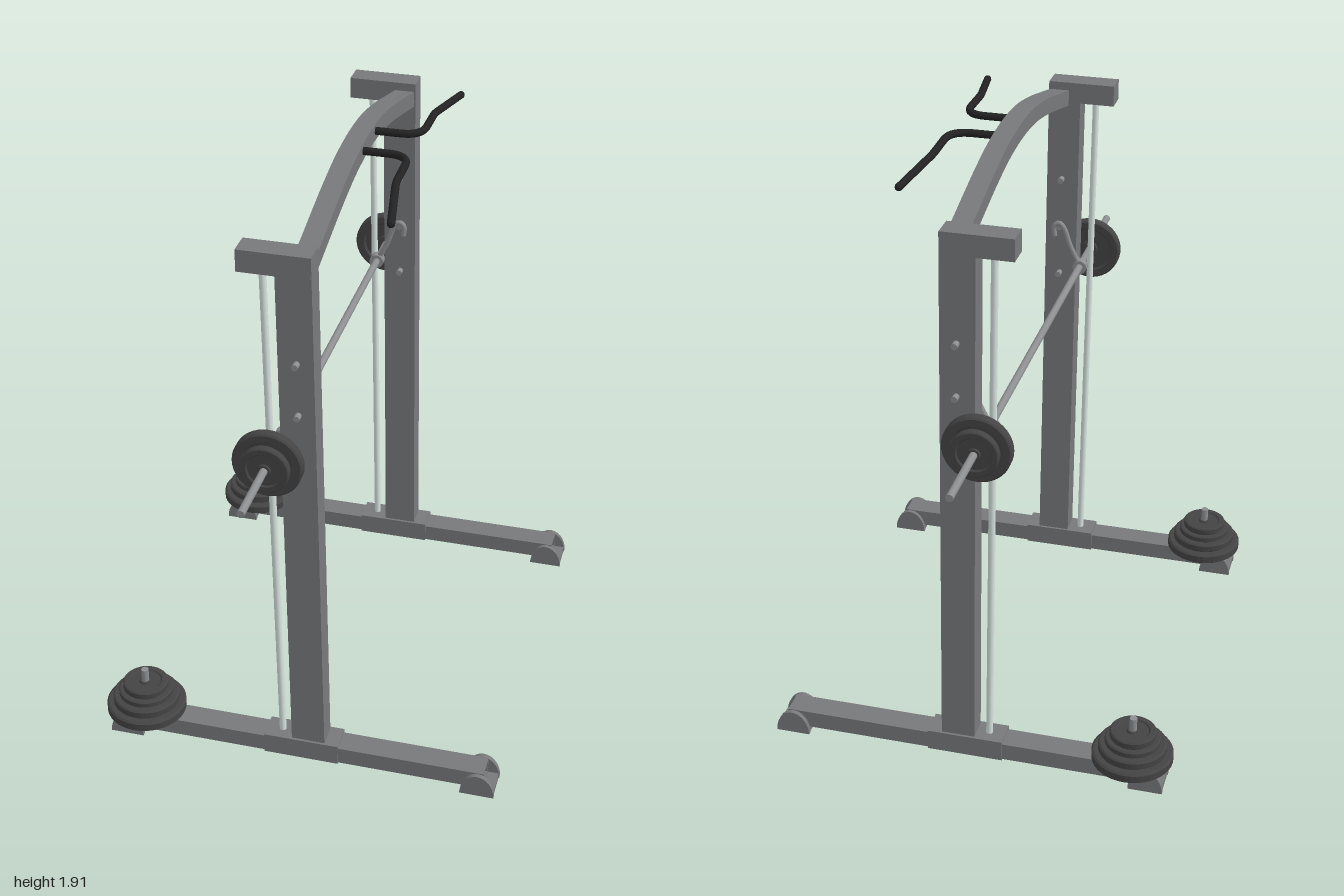
import * as THREE from 'three';

const mat = (color, extra = {}) => new THREE.MeshStandardMaterial({ color, ...extra });
const frame = mat(0x77797b);
const steel = mat(0x8c8e90);
const chrome = mat(0xd8e4e0);
const iron = mat(0x444444);
const rubber = mat(0x222222);

function add(parent, name, geometry, material) {
  const mesh = new THREE.Mesh(geometry, material);
  mesh.name = name;
  parent.add(mesh);
  return mesh;
}

// Box given by its limits on each axis
function box(x0, x1, y0, y1, z0, z1) {
  return new THREE.BoxGeometry(x1 - x0, y1 - y0, z1 - z0)
    .translate((x0 + x1) / 2, (y0 + y1) / 2, (z0 + z1) / 2);
}

// Round rod between two points
function rod(a, b, radius, sides = 16) {
  const from = new THREE.Vector3(...a), to = new THREE.Vector3(...b);
  const dir = to.clone().sub(from);
  const g = new THREE.CylinderGeometry(radius, radius, dir.length(), sides);
  g.applyQuaternion(new THREE.Quaternion().setFromUnitVectors(new THREE.Vector3(0, 1, 0), dir.normalize()));
  return g.translate(...from.add(to).multiplyScalar(0.5).toArray());
}

const polygon = (points) => new THREE.Shape(points.map(([x, y]) => new THREE.Vector2(x, y)));

// Extrude an xy profile between two z values
function extrudeZ(shape, z0, z1) {
  return new THREE.ExtrudeGeometry(shape, { depth: z1 - z0, bevelEnabled: false, curveSegments: 16 })
    .translate(0, 0, z0);
}

// Extrude a zy profile (symmetric in z) between two x values
const extrudeX = (shape, x0, x1) => extrudeZ(shape, x0, x1).rotateY(Math.PI / 2);

// Open rectangular tube along x
function boxTube(x0, x1, y0, y1, half, wall) {
  const s = polygon([[-half, y0], [half, y0], [half, y1], [-half, y1]]);
  const w = half - wall;
  s.holes.push(polygon([[-w, y0 + wall], [-w, y1 - wall], [w, y1 - wall], [w, y0 + wall]]));
  return extrudeX(s, x0, x1);
}

// Weight plate standing on y = 0, with raised rim, recessed web and hub on both faces
function plate(r, t) {
  const d = t * 0.2;
  const half = [[0, 0], [r * 0.25, 0], [r * 0.28, d], [r * 0.68, d], [r * 0.74, 0], [r * 0.95, 0], [r, t * 0.15]];
  const profile = [...half, ...half.map(([x, y]) => [x, t - y]).reverse()];
  const g = new THREE.LatheGeometry(profile.map(([x, y]) => new THREE.Vector2(x, y)), 40).toNonIndexed();
  g.computeVertexNormals();
  return g;
}

// One side of the rack, built around z = 0; out is the outward z direction
function buildSide(out) {
  const side = new THREE.Group();
  side.name = out > 0 ? 'frontSide' : 'backSide';

  add(side, 'baseBeam', boxTube(-0.59, 0.61, 0.02, 0.078, 0.04, 0.008), frame);
  add(side, 'postSleeve', boxTube(-0.11, 0.135, 0.018, 0.088, 0.045, 0.006), frame);

  // Rounded feet: two cheeks and a sole
  for (const x of [-0.576, 0.592]) {
    const foot = new THREE.Group();
    foot.name = 'foot';
    const cheek = new THREE.Shape();
    cheek.absellipse(x, 0, 0.055, 0.077, 0, Math.PI, false);
    for (const s of [-1, 1]) {
      add(foot, 'footCheek', extrudeZ(cheek, s * 0.0485 - 0.0075, s * 0.0485 + 0.0075), frame);
    }
    add(foot, 'footSole', box(x - 0.053, x + 0.053, 0, 0.019, -0.041, 0.041), frame);
    side.add(foot);
  }

  // Leaning post and the cap that holds the guide rod
  add(side, 'post', extrudeZ(polygon([[-0.018, 0.08], [0.09, 0.08], [0.064, 1.83], [-0.043, 1.83]]), -0.037, 0.037), frame);
  add(side, 'topCap', box(-0.155, 0.063, 1.762, 1.831, -0.0375, 0.0375), frame);
  add(side, 'guideRod', rod([-0.058, 0.08, 0], [-0.088, 1.77, 0], 0.011), chrome);

  // Safety pegs through the post
  for (const [x, y] of [[0.018, 1.488], [0.021, 1.317], [0.023, 1.14]]) {
    add(side, 'peg', rod([x, y, -0.06], [x, y, 0.06], 0.01), steel);
  }

  // Hook from the bar over the middle peg, on the inner face
  const z = -out * 0.056;
  const hookPath = new THREE.CatmullRomCurve3([
    [-0.055, 1.18], [-0.02, 1.25], [0.005, 1.318], [0.021, 1.333], [0.038, 1.32], [0.036, 1.285],
  ].map(([x, y]) => new THREE.Vector3(x, y, z)));
  add(side, 'hook', new THREE.TubeGeometry(hookPath, 30, 0.009, 8), steel);
  add(side, 'hookCollar', rod([-0.055, 1.18, z - 0.014], [-0.055, 1.18, z + 0.014], 0.024, 24), steel);

  // Spare plates stacked on the storage peg
  const stack = new THREE.Group();
  stack.name = 'plateStack';
  stack.position.set(-0.523, 0.079, 0);
  let y = 0;
  for (const [r, t] of [[0.129, 0.035], [0.108, 0.03], [0.088, 0.022], [0.073, 0.025]]) {
    add(stack, 'storedPlate', plate(r, t), iron).position.y = y;
    y += t;
  }
  add(stack, 'storagePeg', rod([0, 0, 0], [0, 0.156, 0], 0.012), steel);
  side.add(stack);

  side.position.z = out * 0.632;
  return side;
}

export function createModel() {
  const model = new THREE.Group();
  model.name = 'weightRack';
  model.add(buildSide(1), buildSide(-1));

  // Arched crossbeam
  const top = new THREE.CatmullRomCurve3([
    [-0.6, 1.803], [-0.45, 1.842], [-0.3, 1.879], [-0.15, 1.906], [0, 1.915],
    [0.15, 1.906], [0.3, 1.879], [0.45, 1.842], [0.6, 1.803],
  ].map(([z, y]) => new THREE.Vector3(z, y, 0))).getPoints(32);
  const outline = [...top.map((p) => [p.x, p.y]), ...top.reverse().map((p) => [p.x, p.y - 0.053])].reverse();
  add(model, 'archBeam', extrudeX(polygon(outline), -0.003, 0.06), frame);

  // Pull-up handles
  for (const s of [-1, 1]) {
    const v = (x, y, z) => new THREE.Vector3(x, y, s * z);
    const path = new THREE.CurvePath();
    path.add(new THREE.LineCurve3(v(0.05, 1.89, 0.075), v(0.135, 1.89, 0.075)));
    path.add(new THREE.QuadraticBezierCurve3(v(0.135, 1.89, 0.075), v(0.203, 1.89, 0.075), v(0.203, 1.89, 0.145)));
    path.add(new THREE.LineCurve3(v(0.203, 1.89, 0.145), v(0.203, 1.888, 0.235)));
    path.add(new THREE.QuadraticBezierCurve3(v(0.203, 1.888, 0.235), v(0.203, 1.887, 0.26), v(0.208, 1.884, 0.285)));
    path.add(new THREE.LineCurve3(v(0.208, 1.884, 0.285), v(0.241, 1.864, 0.472)));
    add(model, 'pullUpHandle', new THREE.TubeGeometry(path, 60, 0.012, 12), rubber);
    const end = new THREE.SphereGeometry(0.012, 12, 8);
    add(model, 'handleEnd', end, rubber).position.copy(v(0.241, 1.864, 0.472));
  }

  // Barbell with two plates on each end
  const barbell = new THREE.Group();
  barbell.name = 'barbell';
  barbell.position.set(-0.054, 1.181, 0);
  add(barbell, 'bar', rod([0, 0, -1], [0, 0, 1], 0.012, 20), steel);
  for (const [z, r, t] of [[0.715, 0.107, 0.034], [0.753, 0.075, 0.025], [-0.731, 0.107, 0.034], [-0.758, 0.075, 0.025]]) {
    add(barbell, 'barPlate', plate(r, t).rotateX(Math.PI / 2), iron).position.z = z;
  }
  model.add(barbell);
  return model;
}
